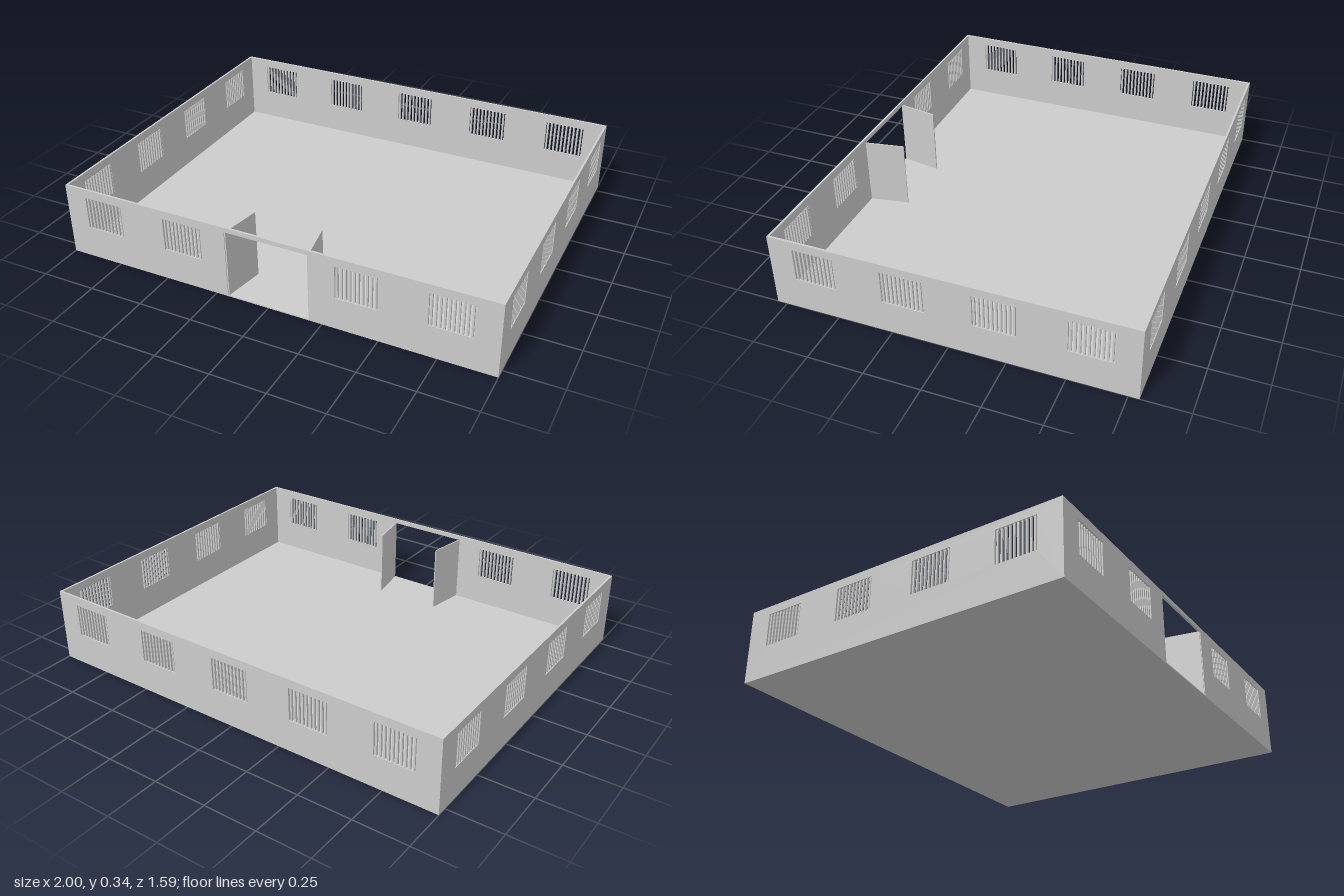
import * as THREE from 'three';

const HALF_X = 1, HALF_Z = 0.795, TOP = 0.343, FLOOR = 0.006, WALL = 0.01;
const WIN = { width: 0.186, bottom: 0.15, top: 0.303, bars: 10 };
const DOOR = { half: 0.194, top: 0.322, leaf: 0.19, thick: 0.006, angle: 0.17 };

const material = new THREE.MeshStandardMaterial({ color: 0xcccccc, flatShading: true });

function add(parent, name, geometry, x = 0, y = 0, z = 0) {
  const mesh = new THREE.Mesh(geometry, material);
  mesh.name = name;
  mesh.position.set(x, y, z);
  parent.add(mesh);
  return mesh;
}

function windowHole(cx) {
  const a = cx - WIN.width / 2, b = cx + WIN.width / 2;
  return new THREE.Path([
    [a, WIN.bottom], [a, WIN.top], [b, WIN.top], [b, WIN.bottom],
  ].map(([x, y]) => new THREE.Vector2(x, y)));
}

// A wall whose outer face lies at local z = 0 and looks along +z
function wall(name, half, windows, hasDoor) {
  const group = new THREE.Group();
  group.name = name;
  const outline = [[-half, FLOOR]];
  if (hasDoor) {
    outline.push([-DOOR.half, FLOOR], [-DOOR.half, DOOR.top], [DOOR.half, DOOR.top], [DOOR.half, FLOOR]);
  }
  outline.push([half, FLOOR], [half, TOP], [-half, TOP]);
  const shape = new THREE.Shape(outline.map(([x, y]) => new THREE.Vector2(x, y)));
  shape.holes = windows.map(windowHole);
  const panel = new THREE.ExtrudeGeometry(shape, { depth: WALL, bevelEnabled: false });
  add(group, name + 'Panel', panel, 0, 0, -WALL);

  // Upright bars, reaching slightly into the room
  const height = WIN.top - WIN.bottom, pitch = WIN.width / WIN.bars;
  const bar = new THREE.BoxGeometry(0.008, height, 0.01);
  for (const cx of windows) {
    for (let i = 0; i < WIN.bars; i++) {
      const x = cx + (i - (WIN.bars - 1) / 2) * pitch;
      add(group, 'windowBar', bar, x, WIN.bottom + height / 2, -0.008);
    }
  }
  return group;
}

export function createModel() {
  const model = new THREE.Group();
  model.name = 'openHall';

  add(model, 'floor', new THREE.BoxGeometry(HALF_X * 2, FLOOR, HALF_Z * 2), 0, FLOOR / 2, 0);

  // Long walls
  const front = wall('frontWall', HALF_X, [-0.805, -0.405, 0.402, 0.8], true);
  front.position.z = HALF_Z;
  const back = wall('backWall', HALF_X, [-0.8, -0.4, 0, 0.4, 0.8], false);
  back.position.z = -HALF_Z;
  back.rotation.y = Math.PI;
  model.add(front, back);

  // Short walls fit between the long ones
  for (const s of [-1, 1]) {
    const windows = [-0.59, -0.193, 0.202, 0.597].map((z) => z * s);
    const side = wall(s > 0 ? 'leftWall' : 'rightWall', HALF_Z - WALL, windows, false);
    side.position.x = s * HALF_X;
    side.rotation.y = s * Math.PI / 2;
    model.add(side);
  }

  // Door leaves swung inward
  const leafHeight = DOOR.top - FLOOR;
  for (const s of [-1, 1]) {
    const hinge = new THREE.Group();
    hinge.name = s > 0 ? 'leftDoor' : 'rightDoor';
    hinge.position.set(s * (DOOR.half - DOOR.thick / 2), FLOOR, HALF_Z - 0.003);
    hinge.rotation.y = s * DOOR.angle;
    add(hinge, 'doorLeaf', new THREE.BoxGeometry(DOOR.thick, leafHeight, DOOR.leaf), 0, leafHeight / 2, -DOOR.leaf / 2);
    model.add(hinge);
  }
  return model;
}
